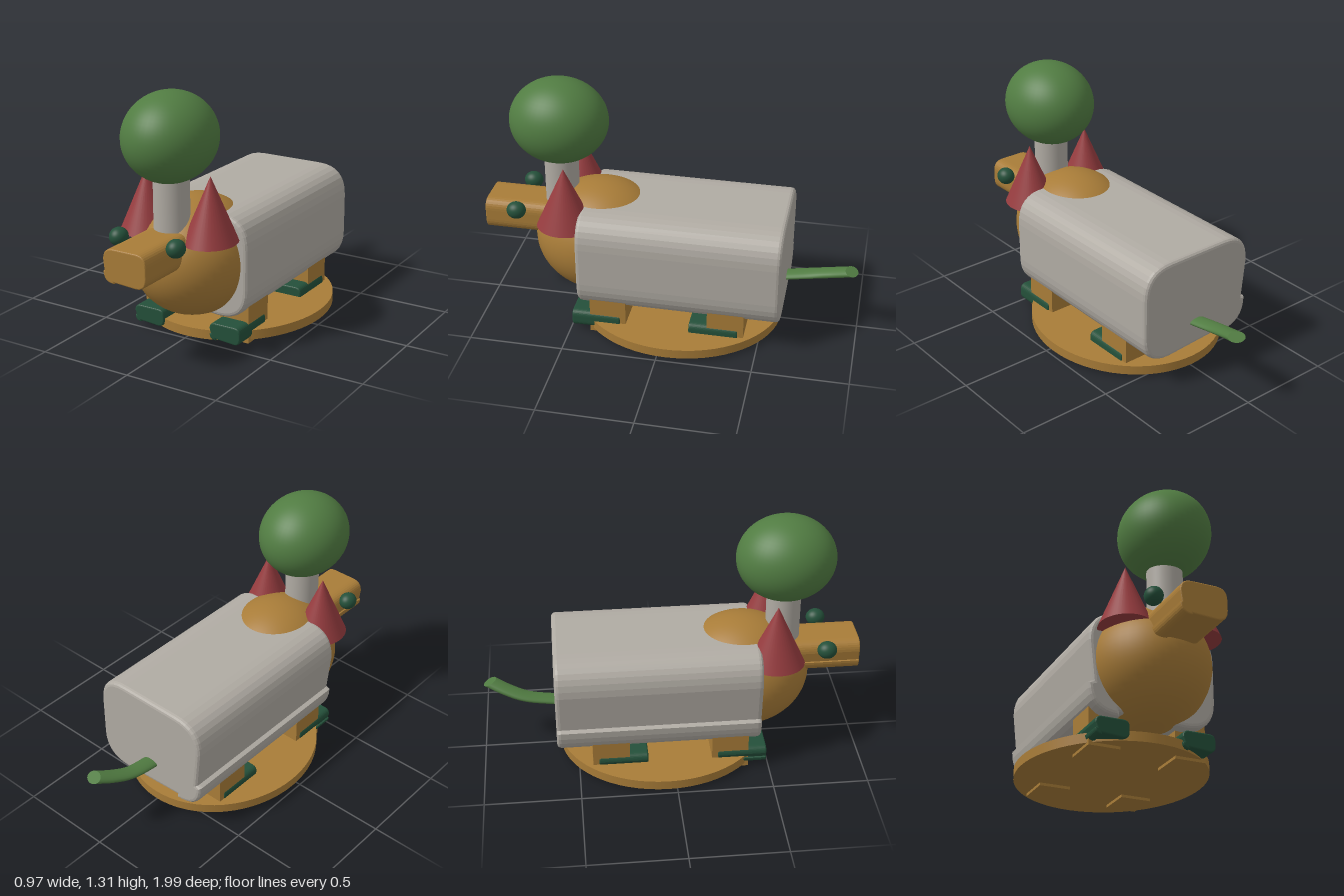
import * as THREE from 'three';

const paint = (name, color) => {
  const m = new THREE.MeshStandardMaterial({ color });
  m.name = name;
  return m;
};

// Extruded block with rounded corners; its lower right-hand (-x) corner has a small nick.
function nickedBlock(hw, hh, r, length, bevel) {
  const s = new THREE.Shape();
  s.moveTo(-hw + r, -hh + bevel);
  s.lineTo(hw - r, -hh);
  s.quadraticCurveTo(hw, -hh, hw, -hh + r);
  s.lineTo(hw, hh - r);
  s.quadraticCurveTo(hw, hh, hw - r, hh);
  s.lineTo(-hw + r, hh);
  s.quadraticCurveTo(-hw, hh, -hw, hh - r);
  s.lineTo(-hw + bevel, -hh + r);
  s.lineTo(-hw, -hh + r - bevel * 0.4);
  s.quadraticCurveTo(-hw, -hh, -hw + r, -hh);
  const geo = new THREE.ExtrudeGeometry(s, {
    depth: length - 2 * bevel, curveSegments: 8,
    bevelEnabled: true, bevelThickness: bevel, bevelSize: bevel, bevelOffset: -bevel, bevelSegments: 3,
  });
  return geo.translate(0, 0, -length / 2 + bevel);
}

export function createModel() {
  const grey = paint('stone grey', 0xb0aba3);
  const ochre = paint('ochre', 0xa87c38);
  const leaf = paint('leaf green', 0x517c42);
  const pine = paint('pine green', 0x24503a);
  const red = paint('brick red', 0x963c3f);

  const model = new THREE.Group();
  model.name = 'animalOnStand';
  const add = (name, geo, mat, x, y, z, scale = [1, 1, 1]) => {
    const mesh = new THREE.Mesh(geo, mat);
    mesh.name = name;
    mesh.position.set(x, y, z);
    mesh.scale.set(...scale);
    model.add(mesh);
    return mesh;
  };
  const ball = new THREE.SphereGeometry(1, 48, 32);

  // Stand, body and head
  add('stand', new THREE.CylinderGeometry(1, 1, 0.05, 64), ochre, 0, 0.04, -0.045, [0.485, 1, 0.545]);
  add('body', nickedBlock(0.34, 0.27, 0.165, 1.07, 0.022), grey, 0, 0.412, -0.077);
  add('head', ball, ochre, 0, 0.43, 0.39, [0.31, 0.31, 0.355]);
  add('snout', nickedBlock(0.122, 0.087, 0.06, 0.5, 0.007), ochre, 0, 0.538, 0.75);

  // Post and ball on top of the head
  add('post', new THREE.CylinderGeometry(0.09, 0.09, 0.4, 32), grey, 0, 0.75, 0.6);
  add('topBall', ball, leaf, 0, 1.085, 0.603, [0.229, 0.225, 0.259]);

  // Paired parts
  const ear = new THREE.ConeGeometry(1, 0.33, 40);
  const leg = new THREE.BoxGeometry(0.165, 0.215, 0.193);
  const foot = nickedBlock(0.089, 0.047, 0.035, 0.26, 0.008);
  for (const side of [-1, 1]) {
    const label = side > 0 ? 'left' : 'right';
    add(label + 'Ear', ear, red, side * 0.185, 0.735, 0.54, [0.134, 1, 0.15]);
    add(label + 'Eye', ball, pine, side * 0.165, 0.614, 0.812, [0.046, 0.046, 0.051]);
    for (const [end, legZ, footZ] of [['Front', 0.296, 0.36], ['Hind', -0.332, -0.268]]) {
      add(label + end + 'Leg', leg, ochre, side * 0.228, 0.1075, legZ);
      add(label + end + 'Foot', foot, pine, side * 0.228, 0.068, footZ);
    }
  }

  // Flattened, curling tail
  const path = new THREE.CatmullRomCurve3([
    new THREE.Vector3(0, 0.7, -0.58),
    new THREE.Vector3(0, 0.78, -0.76),
    new THREE.Vector3(0.022, 0.86, -0.86),
    new THREE.Vector3(0.055, 0.955, -0.953),
  ]);
  const tailGreen = paint('tail green', 0x517c42);
  tailGreen.side = THREE.DoubleSide;
  add('tail', new THREE.TubeGeometry(path, 32, 0.045, 20), tailGreen, 0, 0, 0, [1, 0.4, 1]);
  const tip = path.getPoint(1), dir = path.getTangent(1);
  const cap = new THREE.CircleGeometry(0.045, 20).lookAt(dir).translate(tip.x, tip.y, tip.z);
  add('tailTip', cap, tailGreen, 0, 0, 0, [1, 0.4, 1]);

  return model;
}
